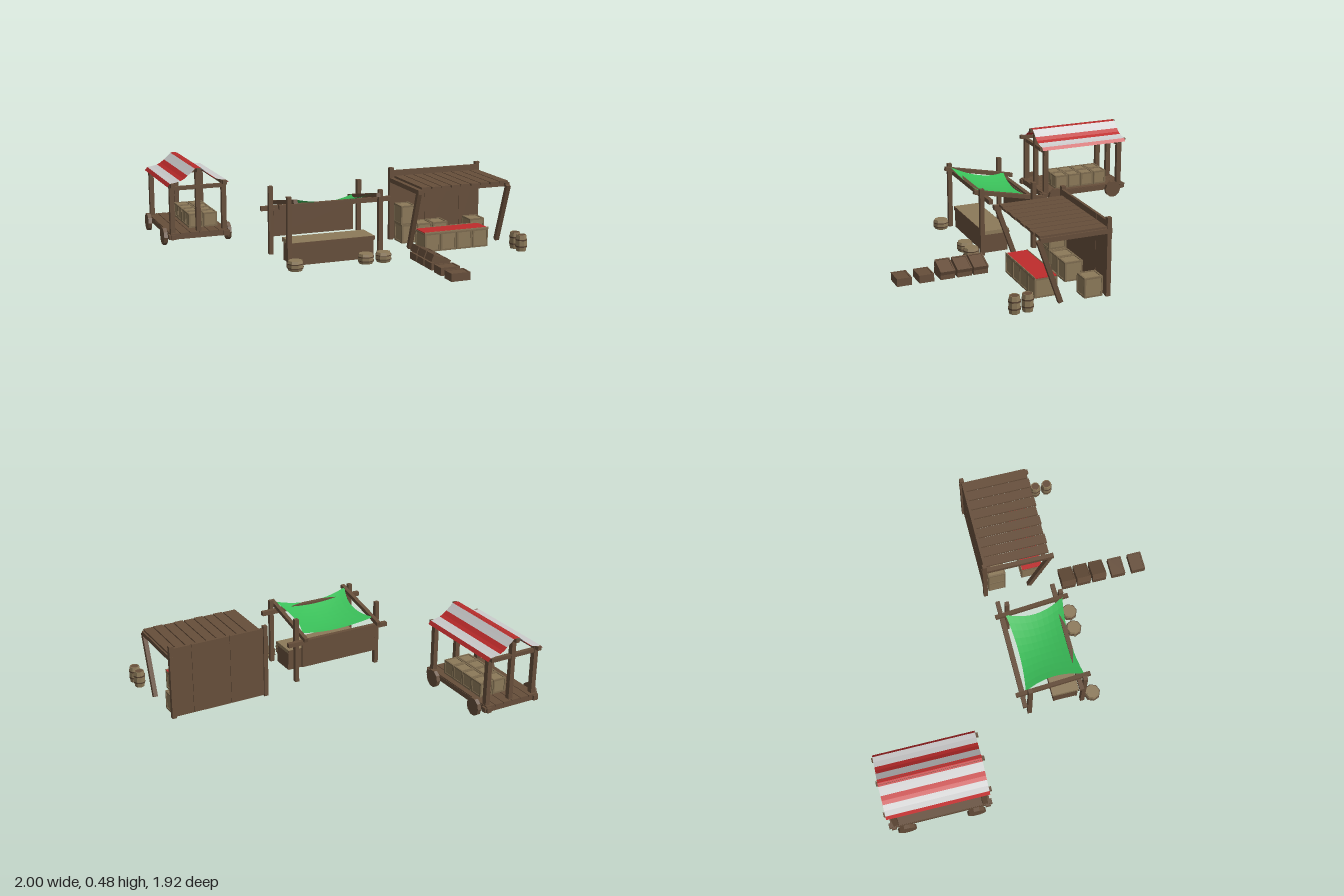
import * as THREE from 'three';

const mat = (color, side = THREE.FrontSide) => {
  const m = new THREE.MeshStandardMaterial({ side, flatShading: true });
  m.color.set(color);
  return m;
};
const WOOD = mat(0x664e3a), DARK = mat(0x564232), LIGHT = mat(0x8c7959), FRAME = mat(0x7d6b4f);
const RED = mat(0xbe2c2c, THREE.DoubleSide), WHITE = mat(0xcccccc, THREE.DoubleSide);
const GREEN = mat(0x3abf59, THREE.DoubleSide), CLOTH = mat(0xbe2c2c);

function group(parent, name, x = 0, y = 0, z = 0) {
  const g = new THREE.Group();
  g.name = name;
  g.position.set(x, y, z);
  parent.add(g);
  return g;
}
function add(parent, name, geo, material) {
  const m = new THREE.Mesh(geo, material);
  m.name = name;
  parent.add(m);
  return m;
}
// box given by its limits on each axis
function box(parent, name, x0, x1, y0, y1, z0, z1, material = WOOD) {
  const m = add(parent, name, new THREE.BoxGeometry(x1 - x0, y1 - y0, z1 - z0), material);
  m.position.set((x0 + x1) / 2, (y0 + y1) / 2, (z0 + z1) / 2);
  return m;
}
// square timber running between two points
function beam(parent, name, a, b, t = 0.026, material = WOOD) {
  const A = new THREE.Vector3(...a), B = new THREE.Vector3(...b);
  const m = add(parent, name, new THREE.BoxGeometry(t, t, A.distanceTo(B)), material);
  m.position.copy(A).add(B).multiplyScalar(0.5);
  m.quaternion.setFromUnitVectors(new THREE.Vector3(0, 0, 1), B.sub(A).normalize());
  return m;
}
// framed crate standing on y, centred on x and z
function crate(parent, x, y, z, w, h, d) {
  const g = group(parent, 'crate', x, y, z), t = 0.01, i = 0.004;
  box(g, 'crateBody', -w / 2 + i, w / 2 - i, i, h - i, -d / 2 + i, d / 2 - i, LIGHT);
  for (const s of [-1, 1]) {
    const cx = s * (w - t) / 2, cz = s * (d - t) / 2;
    for (const q of [-1, 1]) {
      const ez = q * (d - t) / 2, cy = q > 0 ? h - t / 2 : t / 2;
      box(g, 'crateUpright', cx - t / 2, cx + t / 2, 0, h, ez - t / 2, ez + t / 2, FRAME);
      box(g, 'crateSideRail', cx - t / 2, cx + t / 2, cy - t / 2, cy + t / 2, -d / 2, d / 2, FRAME);
      box(g, 'crateFrontRail', -w / 2, w / 2, cy - t / 2, cy + t / 2, cz - t / 2, cz + t / 2, FRAME);
    }
  }
}
// shallow tray centred on its own origin
function tray(parent, x, y, z, w, h, d, tilt = 0) {
  const g = group(parent, 'tray', x, y, z), t = 0.008;
  g.rotation.z = tilt;
  box(g, 'trayFloor', -w / 2 + t, w / 2 - t, -h / 2, h / 2 - 0.004, -d / 2 + t, d / 2 - t);
  for (const s of [-1, 1]) {
    const cx = s * (w - t) / 2, cz = s * (d - t) / 2;
    box(g, 'trayEnd', cx - t / 2, cx + t / 2, -h / 2, h / 2, -d / 2, d / 2);
    box(g, 'traySide', -w / 2, w / 2, -h / 2, h / 2, cz - t / 2, cz + t / 2);
  }
}
// eight-sided barrel with hoops and a recessed lid
function barrel(parent, x, z, r, h, lid) {
  const g = group(parent, 'barrel', x, 0, z);
  const profile = [[0, 0], [r * 0.82, 0], [r * 0.97, h * 0.35], [r * 0.97, h * 0.65], [r * 0.82, h],
    [r * 0.7, h], [r * 0.7, h * 0.92]].map(p => new THREE.Vector2(...p));
  add(g, 'barrelStaves', new THREE.LatheGeometry(profile, 8), LIGHT);
  const top = add(g, 'barrelLid', new THREE.CylinderGeometry(r * 0.74, r * 0.74, 0.006, 8), lid);
  top.position.y = h * 0.95;
  for (const f of [0.3, 0.7]) {
    const hoop = add(g, 'barrelHoop', new THREE.CylinderGeometry(r, r, h * 0.08, 8), DARK);
    hoop.position.y = h * f;
  }
}

function buildCart(root) {
  const g = group(root, 'marketCart', -0.787, 0, -0.648);
  // deck
  for (const s of [-1, 1]) {
    beam(g, 'deckSideBeam', [s * 0.165, 0.062, -0.31], [s * 0.165, 0.062, 0.31], 0.03);
    beam(g, 'deckEndBeam', [-0.19, 0.062, s * 0.282], [0.19, 0.062, s * 0.282], 0.03);
    beam(g, 'axle', [-0.2, 0.056, s * 0.208], [0.2, 0.056, s * 0.208], 0.02, DARK);
  }
  for (let i = 0; i < 6; i++) {
    const x = -0.18 + i * 0.06;
    box(g, 'deckPlank', x + 0.002, x + 0.058, 0.072, 0.084, -0.298, 0.298);
  }
  for (const sx of [-1, 1]) for (const sz of [-1, 1]) {
    const wheel = add(g, 'wheel', new THREE.CylinderGeometry(0.055, 0.055, 0.023, 10), WOOD);
    wheel.rotation.z = Math.PI / 2;
    wheel.position.set(sx * 0.201, 0.054, sz * 0.208);
    box(g, 'cornerPost', sx * 0.162 - 0.014, sx * 0.162 + 0.014, 0.075, 0.385, sz * 0.267 - 0.016, sz * 0.267 + 0.016);
  }
  // roof timbers
  for (const s of [-1, 1]) {
    box(g, 'ridgePost', -0.014, 0.014, 0.075, 0.462, s * 0.267 - 0.015, s * 0.267 + 0.015);
    box(g, 'crossBeam', -0.162, 0.162, 0.345, 0.368, s * 0.267 - 0.012, s * 0.267 + 0.012);
    beam(g, 'eaveBeam', [s * 0.162, 0.379, -0.312], [s * 0.162, 0.379, 0.312], 0.024);
  }
  beam(g, 'ridgeBeam', [0, 0.464, -0.312], [0, 0.464, 0.312], 0.024);
  // striped awning, one bent strip per stripe
  const stripes = [
    [[0, 0.478], [0.021, 0.474]],
    [[0.021, 0.474], [0.042, 0.455], [0.066, 0.434]],
    [[0.066, 0.434], [0.09, 0.415], [0.112, 0.404]],
    [[0.112, 0.404], [0.145, 0.396], [0.176, 0.392]],
    [[0.176, 0.392], [0.192, 0.372]]];
  for (const s of [-1, 1]) stripes.forEach((pts, i) => {
    const geo = new THREE.PlaneGeometry(1, 1, pts.length - 1, 1), p = geo.attributes.position;
    for (let k = 0; k < p.count; k++) {
      const [x, y] = pts[k % pts.length];
      p.setXYZ(k, s * x, y, k < pts.length ? -0.303 : 0.298);
    }
    geo.computeVertexNormals();
    add(g, 'awningStripe', geo, i % 2 ? WHITE : RED);
  });
  // cargo
  for (let i = 0; i < 2; i++) for (let j = 0; j < 4; j++)
    crate(g, 0.007 + i * 0.092, 0.084, -0.139 + j * 0.093, 0.088, 0.088, 0.09);
}

function buildClothStall(root) {
  const g = group(root, 'clothStall', -0.175, 0, 0);
  for (const s of [-1, 1]) {
    for (const z of [0.018, 0.348])
      box(g, 'post', s * 0.28 - 0.013, s * 0.28 + 0.013, 0, 0.41, z - 0.013, z + 0.013);
    beam(g, 'slopedBeam', [s * 0.252, 0.295, -0.06], [s * 0.252, 0.388, 0.386], 0.024);
  }
  beam(g, 'frontBeam', [-0.328, 0.348, 0.318], [0.356, 0.348, 0.318]);
  beam(g, 'backBeam', [-0.328, 0.27, -0.022], [0.356, 0.27, -0.022]);
  box(g, 'backPanel', -0.255, 0.255, 0.1, 0.27, -0.014, -0.004);
  // counter, open underneath, with a pale top and darker edging
  box(g, 'counterTop', -0.258, 0.253, 0.112, 0.135, 0.167, 0.328, LIGHT);
  for (const z of [0.165, 0.326]) box(g, 'counterEdging', -0.26, 0.255, 0.11, 0.134, z, z + 0.004);
  for (const z of [0.175, 0.313]) box(g, 'counterPanel', -0.254, 0.25, 0, 0.112, z, z + 0.012);
  for (const s of [-1, 1]) box(g, 'counterSide', s * 0.246 - 0.006, s * 0.246 + 0.006, 0, 0.112, 0.18, 0.32);
  // sagging cloth with edges drawn in between the corners
  const cloth = new THREE.PlaneGeometry(2, 2, 10, 10), p = cloth.attributes.position;
  for (let i = 0; i < p.count; i++) {
    const u = p.getX(i), v = -p.getY(i), bu = 1 - u * u, bv = 1 - v * v;
    p.setXYZ(i, u * (0.248 - 0.045 * bv), 0.357 + 0.037 * v - 0.036 * bu - 0.022 * bv + 0.005 * bu * bv,
      0.175 + v * (0.175 - 0.023 * bu));
  }
  cloth.computeVertexNormals();
  add(g, 'clothRoof', cloth, GREEN);
  for (const x of [-0.267, 0.163, 0.273]) barrel(g, x, 0.415, 0.05, 0.058, LIGHT);
}

function buildPlankStall(root) {
  const g = group(root, 'plankStall');
  // back wall and its posts
  [[0.365, 0.577], [0.579, 0.816], [0.818, 0.945]].forEach(([a, b]) =>
    box(g, 'wallPanel', a, b, 0.005, 0.435, -0.062, -0.046));
  for (const x of [0.353, 0.943]) {
    box(g, 'backPost', x - 0.013, x + 0.013, 0, 0.452, -0.072, -0.046);
    box(g, 'roofSideBeam', x - 0.013, x + 0.013, 0.363, 0.39, -0.075, x < 0.5 ? 0.37 : 0.345);
    beam(g, 'slantedLeg', [x, 0.375, 0.35], [x, 0.01, 0.222], 0.026);
  }
  for (const z of [-0.03, 0.31]) box(g, 'roofCrossBeam', 0.353, 0.943, 0.363, 0.388, z - 0.012, z + 0.012);
  // roof planks of slightly uneven length
  for (let i = 0; i < 9; i++) {
    const x = 0.372 + i * 0.0645;
    box(g, 'roofPlank', x, x + 0.058, 0.388, 0.401, -0.06, 0.345 + 0.006 * (i % 2));
  }
  // display crates, with a cloth set between two lips
  for (let i = 0; i < 4; i++) crate(g, 0.46 + i * 0.106, 0, 0.255, 0.103, 0.112, 0.135);
  box(g, 'displayCloth', 0.412, 0.828, 0.11, 0.117, 0.192, 0.318, CLOTH);
  for (const z of [0.188, 0.318]) box(g, 'displayLip', 0.408, 0.832, 0.105, 0.12, z, z + 0.004, LIGHT);
  // stock along the wall
  for (const x of [0.42, 0.525, 0.63, 0.885]) crate(g, x, 0, 0.02, 0.1, 0.115, 0.11);
  crate(g, 0.412, 0.116, 0.02, 0.095, 0.118, 0.11);
  for (const z of [0.42, 0.495]) barrel(g, 0.962, z, 0.036, 0.1, WOOD);
}

export function createModel() {
  const root = new THREE.Group();
  root.name = 'marketStalls';
  buildCart(root);
  buildClothStall(root);
  buildPlankStall(root);
  // row of trays, the ones nearest the stalls stacked and tilted
  const row = group(root, 'trayRow');
  for (const z of [0.462, 0.56, 0.66]) {
    tray(row, 0.324, 0.021, z, 0.114, 0.042, 0.086);
    tray(row, 0.328, 0.049, z, 0.115, 0.043, 0.088, -0.37);
  }
  for (const z of [0.785, 0.915]) tray(row, 0.324, 0.023, z, 0.116, 0.046, 0.087);
  return root;
}
